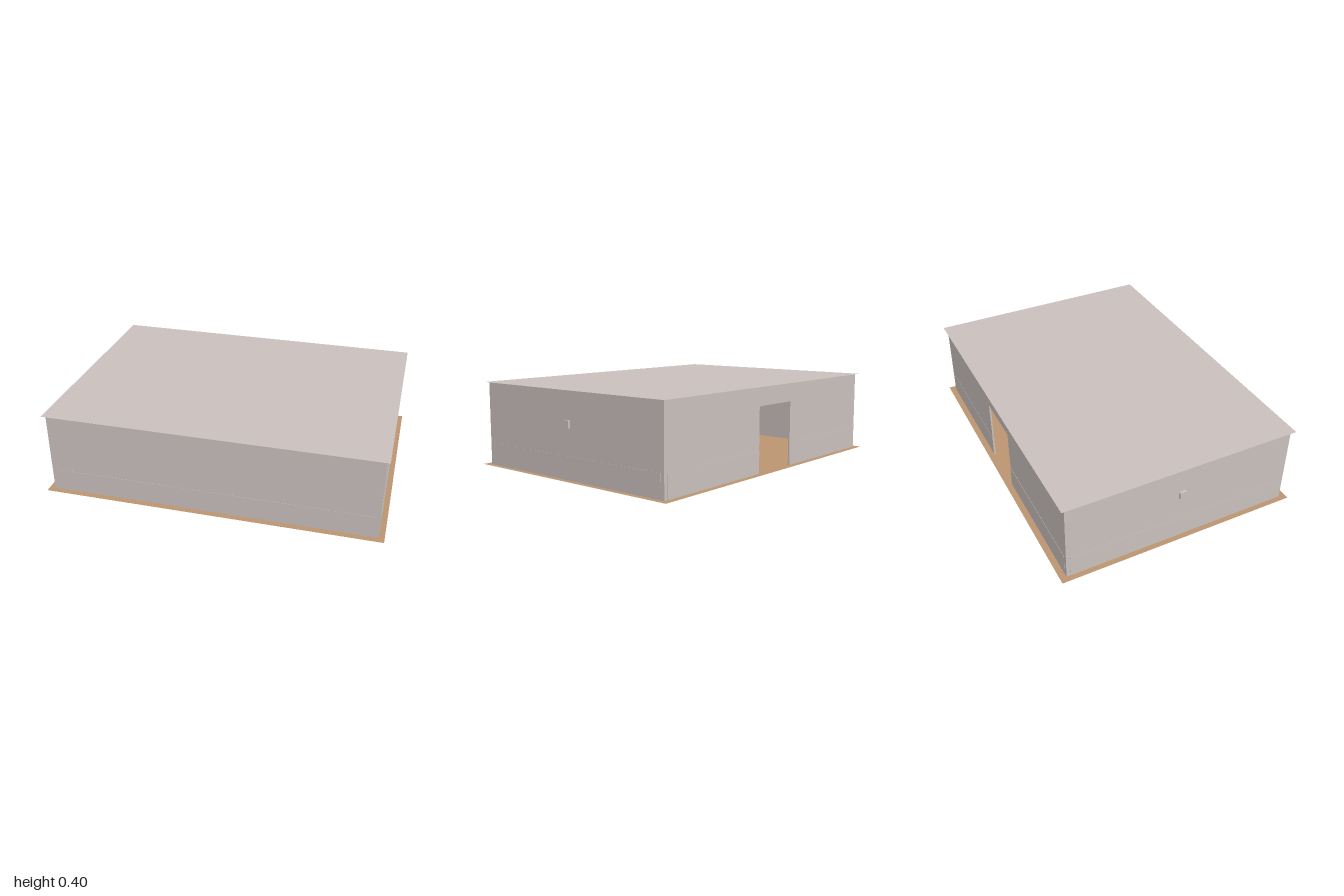
import * as THREE from 'three';

const W = 1.118, L = 1.557, H = 0.398, T = 0.008; // wall width, length, height, thickness
const DOOR_W = 0.257, DOOR_H = 0.31;

export function createModel() {
  const model = new THREE.Group();
  const plaster = new THREE.MeshStandardMaterial({ color: 0xc9c0bd, side: THREE.DoubleSide });
  plaster.name = 'plaster';
  const tan = new THREE.MeshStandardMaterial({ color: 0xbb9470, side: THREE.DoubleSide });
  tan.name = 'tan ground';

  // The whole building stands turned on its plot
  const building = new THREE.Group();
  building.name = 'building';
  building.rotation.y = 0.541;
  model.add(building);

  const add = (name, geometry, material, x, y, z) => {
    const mesh = new THREE.Mesh(geometry, material);
    mesh.name = name;
    mesh.position.set(x, y, z);
    building.add(mesh);
    return mesh;
  };
  const box = (name, w, h, d, x, y, z) =>
    add(name, new THREE.BoxGeometry(w, h, d), plaster, x, y, z);

  // Flat ground sheet and overhanging roof sheet
  const sheet = (w, l) => new THREE.PlaneGeometry(w, l).rotateX(-Math.PI / 2);
  add('ground', sheet(1.18, 1.61), tan, 0, 0, 0);
  add('roof', sheet(1.152, 1.588), plaster, 0, 0.4, 0);

  // Closed long wall
  box('longWall', T, H, L, -(W - T) / 2, H / 2, 0);

  // Long wall with an open doorway in the middle
  const a = L / 2, d = DOOR_W / 2;
  const outline = new THREE.Shape([
    [-a, 0], [-d, 0], [-d, DOOR_H], [d, DOOR_H], [d, 0], [a, 0], [a, H], [-a, H],
  ].map(([x, y]) => new THREE.Vector2(x, y)));
  const doorWall = new THREE.ExtrudeGeometry(outline, { depth: T, bevelEnabled: false });
  add('doorWall', doorWall, plaster, W / 2 - T, 0, 0).rotation.y = Math.PI / 2;

  // Short end walls, each with a small wall fitting
  for (const s of [-1, 1]) {
    box('endWall', W - 2 * T, H, T, 0, H / 2, s * (L - T) / 2);
    box('wallFitting', 0.032, 0.036, 0.012, 0, 0.25, s * (L / 2 + 0.005));
  }

  // Faint base bands, split at the doorway
  const B = 0.108, P = 0.002;
  for (const s of [-1, 1]) {
    box('endBaseBand', W - 0.04, B, P, 0, B / 2, s * L / 2);
    const len = (L - DOOR_W) / 2 - 0.02;
    box('doorSideBaseBand', P, B, len, W / 2, B / 2, s * (d + len / 2));
  }
  box('longBaseBand', P, B, L - 0.04, -W / 2, B / 2, 0);

  return model;
}
